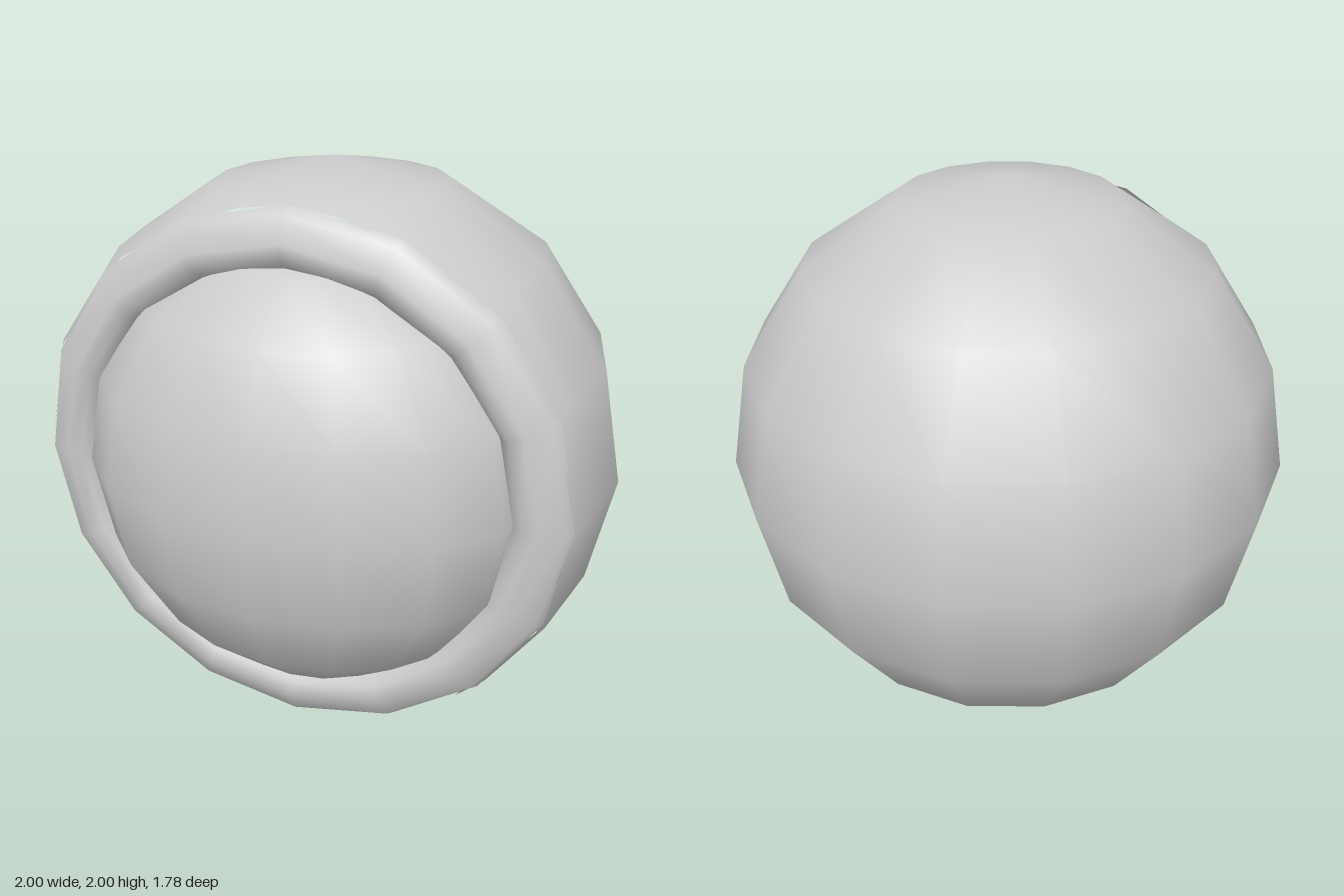
import * as THREE from 'three';

const CENTRE_Z = 0.107;
const material = new THREE.MeshStandardMaterial({ color: 0xcccccc });

// Unit ball with everything in front of z = limit sliced away, keeping smooth normals
function slicedBall(limit) {
  const ball = new THREE.SphereGeometry(1, 16, 8).toNonIndexed();
  const p = ball.attributes.position;
  const n = ball.attributes.normal;
  const pos = [], nor = [];
  for (let i = 0; i < p.count; i += 3) {
    const corners = [0, 1, 2].map((k) => ({
      p: new THREE.Vector3().fromBufferAttribute(p, i + k),
      n: new THREE.Vector3().fromBufferAttribute(n, i + k),
    }));
    const kept = [];
    corners.forEach((a, k) => {
      const b = corners[(k + 1) % 3];
      const da = limit - a.p.z, db = limit - b.p.z;
      if (da >= 0) kept.push(a);
      if (da * db < 0) {
        const t = da / (da - db);
        kept.push({ p: a.p.clone().lerp(b.p, t), n: a.n.clone().lerp(b.n, t).normalize() });
      }
    });
    for (let k = 1; k + 1 < kept.length; k++) {
      for (const v of [kept[0], kept[k], kept[k + 1]]) {
        pos.push(...v.p.toArray());
        nor.push(...v.n.toArray());
      }
    }
  }
  const geometry = new THREE.BufferGeometry();
  geometry.setAttribute('position', new THREE.Float32BufferAttribute(pos, 3));
  geometry.setAttribute('normal', new THREE.Float32BufferAttribute(nor, 3));
  return geometry;
}

export function createModel() {
  const group = new THREE.Group();
  group.name = 'eyeball';
  const add = (name, geometry, z) => {
    const mesh = new THREE.Mesh(geometry, material);
    mesh.name = name;
    mesh.position.set(0, 1, z);
    group.add(mesh);
    return mesh;
  };

  // Outer shell, open at the front
  add('shell', slicedBall(0.385), CENTRE_Z);

  // Rounded rim rolling inward behind the lens
  const profile = [
    [0.922, 0.375], [0.9, 0.41], [0.82, 0.45], [0.77, 0.437], [0.735, 0.405], [0.68, 0.3],
  ].map(([r, z]) => new THREE.Vector2(r, z));
  const rim = new THREE.LatheGeometry(profile, 16).rotateX(Math.PI / 2);
  add('rim', rim, CENTRE_Z).material = new THREE.MeshStandardMaterial({ color: 0xcccccc, side: THREE.DoubleSide });

  // Flattened ball bulging out of the opening
  add('lens', new THREE.SphereGeometry(0.784, 16, 8), 0.35).scale.z = 0.69;

  return group;
}
